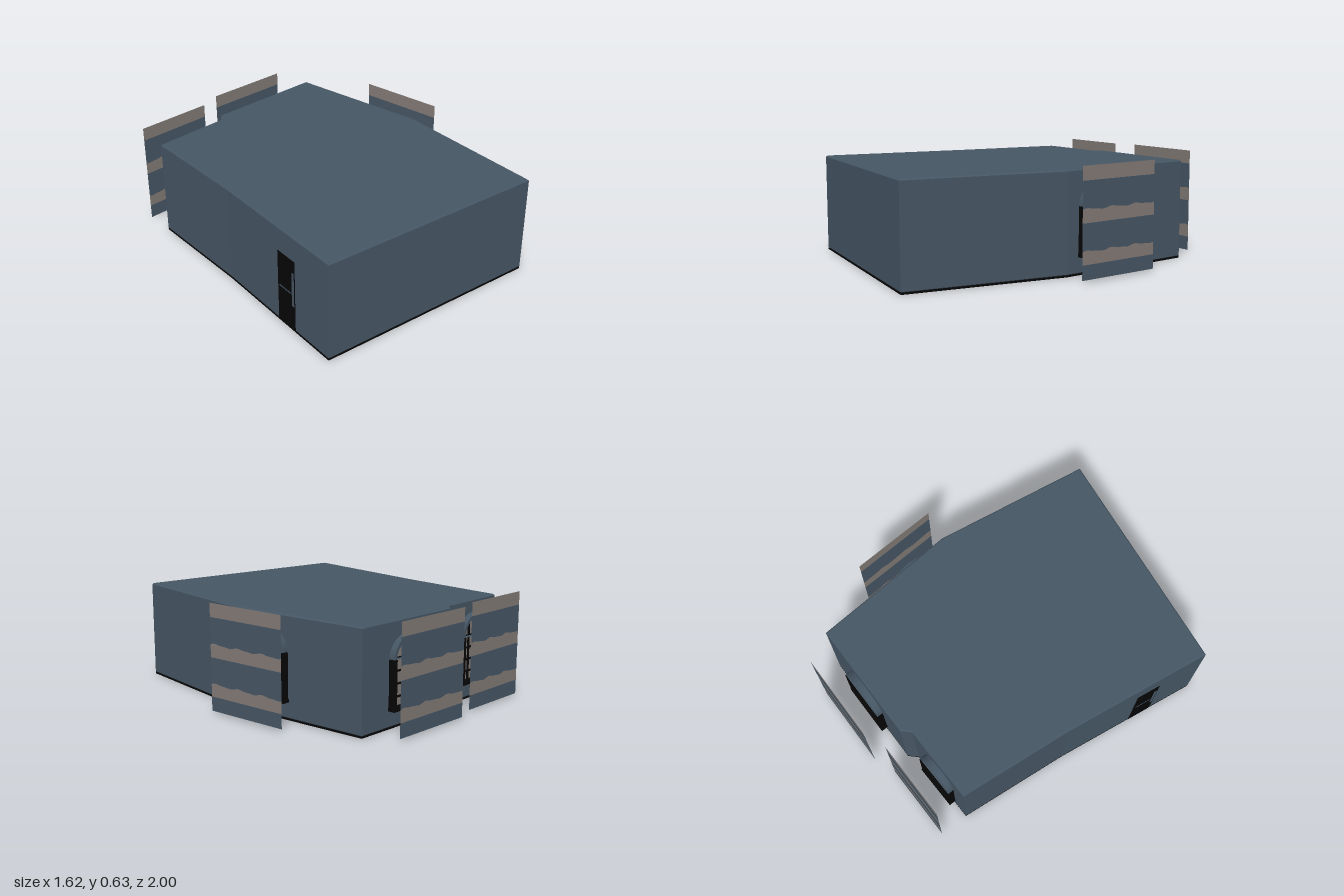
import * as THREE from 'three';

const paint = (name, color) => {
  const m = new THREE.MeshStandardMaterial({ color, side: THREE.DoubleSide });
  m.name = name;
  return m;
};
const slate = paint('slate blue', 0x465664);
const tan = paint('warm grey', 0x827a76);
const black = paint('black', 0x060606);

const add = (parent, name, geometry, material, x = 0, y = 0, z = 0) => {
  const mesh = new THREE.Mesh(geometry, material);
  mesh.name = name;
  mesh.position.set(x, y, z);
  parent.add(mesh);
  return mesh;
};
const box = (parent, name, w, h, d, material, x, y, z) =>
  add(parent, name, new THREE.BoxGeometry(w, h, d), material, x, y, z);

// Group whose local x runs along a wall from a to b, and whose local z points outward
function alongWall(parent, name, [ax, az], [bx, bz]) {
  const g = new THREE.Group();
  g.name = name;
  g.position.set((ax + bx) / 2, 0, (az + bz) / 2);
  g.rotation.y = Math.atan2(az - bz, bx - ax);
  parent.add(g);
  return [g, Math.hypot(bx - ax, bz - az)];
}

// Room outline, seen from above as x, z
const outline = [[-0.755, 0.995], [0.64, 0.995], [0.64, 0.03], [0.44, -0.845],
  [-0.29, -0.745], [-0.33, -0.69], [-0.788, -0.615], [-0.757, 0.07]];

function slab(height, bevel) {
  const shape = new THREE.Shape(outline.map(([x, z]) => new THREE.Vector2(x, -z)));
  const g = new THREE.ExtrudeGeometry(shape, {
    depth: height - 2 * bevel, bevelSize: bevel, bevelThickness: bevel, bevelOffset: -bevel, bevelSegments: 1,
  });
  return g.rotateX(-Math.PI / 2).translate(0, bevel, 0);
}

// Arched path: straight sides from y0 to the spring line, then half an ellipse
function archPath(Type, w, y0, spring, rise) {
  const p = new Type();
  p.moveTo(-w / 2, y0);
  p.lineTo(w / 2, y0);
  p.lineTo(w / 2, spring);
  p.absellipse(0, spring, w / 2, rise, 0, Math.PI, false, 0);
  p.closePath();
  return p;
}

function addWindow(parent, a, b) {
  const [g, w] = alongWall(parent, 'archedWindow', a, b);
  const y0 = 0.105, spring = 0.39, rise = 0.13, t = 0.02, d = 0.042;
  // pane
  add(g, 'windowPane', new THREE.ShapeGeometry(archPath(THREE.Shape, w - t, y0, spring, rise - t / 2)), tan, 0, 0, 0.004);
  // arched head
  const head = archPath(THREE.Shape, w, spring, spring, rise);
  head.holes.push(archPath(THREE.Path, w - 2 * t, spring + 0.0005, spring, rise - t));
  add(g, 'windowHead', new THREE.ExtrudeGeometry(head, { depth: d - 0.004, bevelEnabled: false, curveSegments: 16 }), slate);
  // jambs and sill
  for (const s of [-1, 1])
    box(g, 'windowJamb', t, spring - y0, d, black, s * (w - t) / 2, (y0 + spring) / 2, d / 2);
  box(g, 'windowSill', w + 0.01, 0.02, d + 0.004, black, 0, y0 + 0.01, d / 2);
  // glazing bars
  for (const x of [-w / 6, w / 6])
    box(g, 'glazingBar', 0.009, spring + rise * 0.8 - y0, 0.01, black, x, (y0 + spring + rise * 0.8) / 2, 0.01);
  for (let i = 1; i <= 4; i++)
    box(g, 'glazingBar', w - t, 0.009, 0.01, black, 0, y0 + i * (spring - y0) / 4, 0.01);
}

// Backdrop screen of alternating stripes, some with a wavy edge
function addScreen(parent, a, b) {
  const [g, w] = alongWall(parent, 'stripedScreen', a, b);
  const edges = [[0.013, 0], [0.097, 0], [0.17, 1], [0.325, 0], [0.4, 1], [0.555, 0], [0.635, 0]];
  const n = 24;
  const edge = ([y, wavy]) => Array.from({ length: n + 1 }, (_, i) => {
    const u = i / n;
    return new THREE.Vector2((u - 0.5) * w, y + wavy * 0.005 * (Math.sin(u * 19) + 0.5 * Math.sin(u * 37)));
  });
  for (let i = 0; i < 6; i++) {
    const shape = new THREE.Shape([...edge(edges[i]), ...edge(edges[i + 1]).reverse()]);
    add(g, 'screenStripe', new THREE.ShapeGeometry(shape), i % 2 ? tan : slate);
  }
}

export function createModel() {
  const room = new THREE.Group();
  room.name = 'room';

  // Walls and roof over a black floor
  add(room, 'wallsAndRoof', slab(0.588, 0.008), slate, 0, 0.008, 0);
  add(room, 'floor', slab(0.012, 0.002), black);

  // Windows
  addWindow(room, [0.622, -0.05], [0.553, -0.35]);
  addWindow(room, [0.23, -0.816], [-0.09, -0.772]);
  addWindow(room, [-0.43, -0.674], [-0.69, -0.631]);

  // Screens standing outside the windows
  addScreen(room, [0.808, 0.03], [0.698, -0.49]);
  addScreen(room, [0.312, -1.0], [-0.213, -0.93]);
  addScreen(room, [-0.342, -0.86], [-0.81, -0.79]);

  // Doorway in the side wall
  const [door] = alongWall(room, 'doorway', [-0.756, 0.555], [-0.755, 0.705]);
  box(door, 'doorOpening', 0.15, 0.44, 0.006, black, 0, 0.23, 0);
  box(door, 'doorEdge', 0.018, 0.21, 0.008, slate, 0.06, 0.27, 0.001);
  box(door, 'doorRail', 0.1, 0.006, 0.008, slate, -0.01, 0.24, 0.001);

  return room;
}
